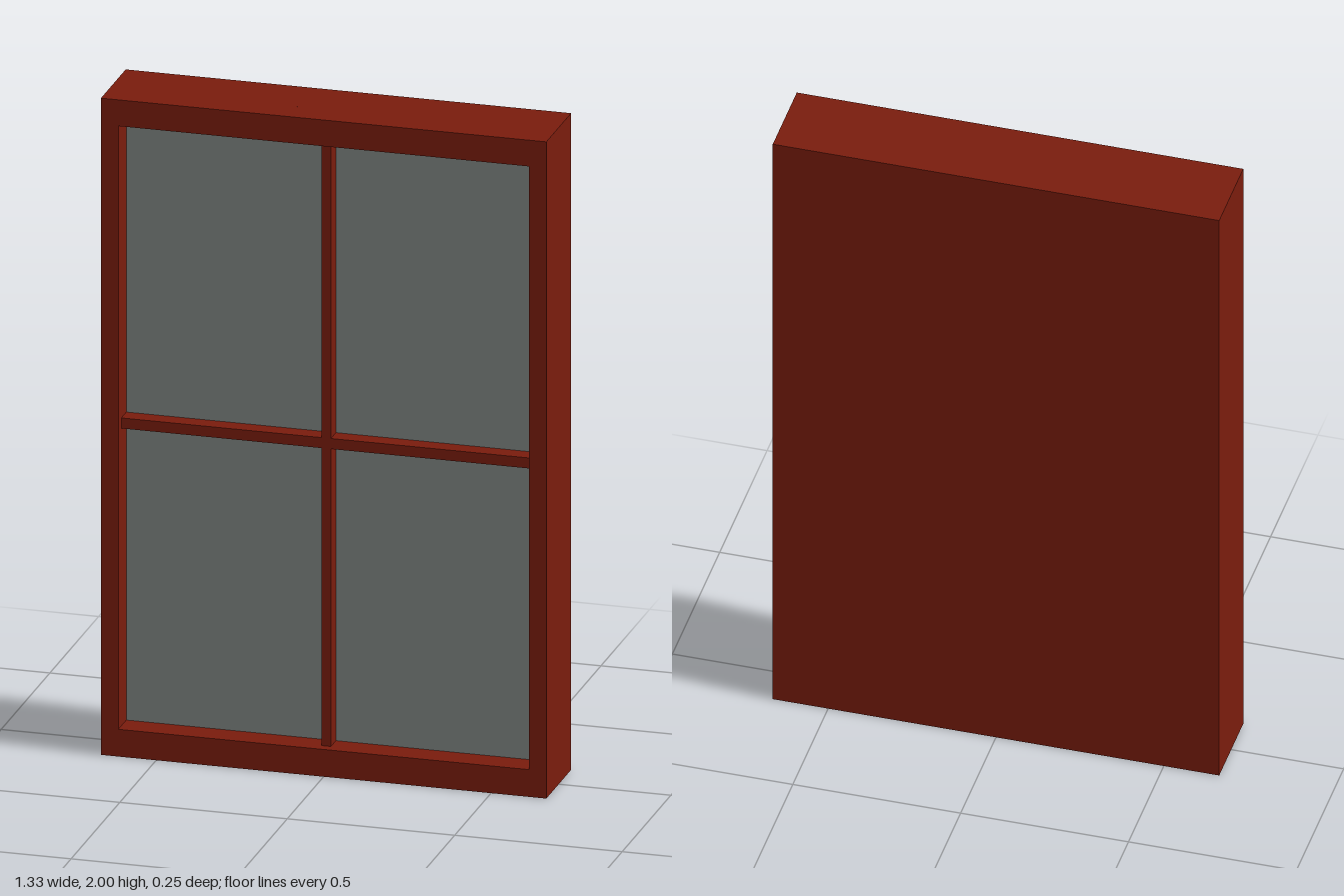
import * as THREE from 'three';

const W = 1.33, H = 2, FRONT = 0.127, BACK = -0.127;
const PANEL_Z = 0.04;   // where the solid back meets the raised frame
const GLASS_Z = 0.045;  // face of the recessed panes
const BAR_Z = 0.097;    // face of the glazing bars
const OPEN = { x: 0.613, y0: 0.083, y1: 1.92 };
const BAR = { x0: -0.015, x1: 0.013, y0: 0.989, y1: 1.021 };

export function createModel() {
  const group = new THREE.Group();
  const wood = new THREE.MeshStandardMaterial({ color: 0x7a1c0d });
  const glass = new THREE.MeshStandardMaterial({ color: 0x808683 });

  function add(name, geometry, material) {
    const mesh = new THREE.Mesh(geometry, material);
    mesh.name = name;
    group.add(mesh);
    return mesh;
  }

  // Box given by its two extremes on each axis
  function addBox(name, x0, x1, y0, y1, z0, z1, material) {
    const mesh = add(name, new THREE.BoxGeometry(x1 - x0, y1 - y0, z1 - z0), material);
    mesh.position.set((x0 + x1) / 2, (y0 + y1) / 2, (z0 + z1) / 2);
  }

  // Solid back
  addBox('backPanel', -W / 2, W / 2, 0, H, BACK, PANEL_Z, wood);

  // Raised frame with one large opening
  const outline = new THREE.Shape([
    new THREE.Vector2(-W / 2, 0), new THREE.Vector2(W / 2, 0),
    new THREE.Vector2(W / 2, H), new THREE.Vector2(-W / 2, H),
  ]);
  outline.holes.push(new THREE.Path([
    new THREE.Vector2(-OPEN.x, OPEN.y0), new THREE.Vector2(-OPEN.x, OPEN.y1),
    new THREE.Vector2(OPEN.x, OPEN.y1), new THREE.Vector2(OPEN.x, OPEN.y0),
  ]));
  const frame = new THREE.ExtrudeGeometry(outline, { depth: FRONT - PANEL_Z, bevelEnabled: false });
  add('frame', frame.translate(0, 0, PANEL_Z), wood);

  // Four panes
  for (const [x0, x1, side] of [[-OPEN.x, BAR.x0, 'Right'], [BAR.x1, OPEN.x, 'Left']]) {
    for (const [y0, y1, level] of [[OPEN.y0, BAR.y0, 'lower'], [BAR.y1, OPEN.y1, 'upper']]) {
      addBox(`${level}${side}Pane`, x0, x1, y0, y1, PANEL_Z, GLASS_Z, glass);
    }
  }

  // Crossing glazing bars; the horizontal one is split around the upright
  addBox('verticalBar', BAR.x0, BAR.x1, OPEN.y0, OPEN.y1, PANEL_Z, BAR_Z, wood);
  addBox('rightHorizontalBar', -OPEN.x, BAR.x0, BAR.y0, BAR.y1, PANEL_Z, BAR_Z, wood);
  addBox('leftHorizontalBar', BAR.x1, OPEN.x, BAR.y0, BAR.y1, PANEL_Z, BAR_Z, wood);

  return group;
}
